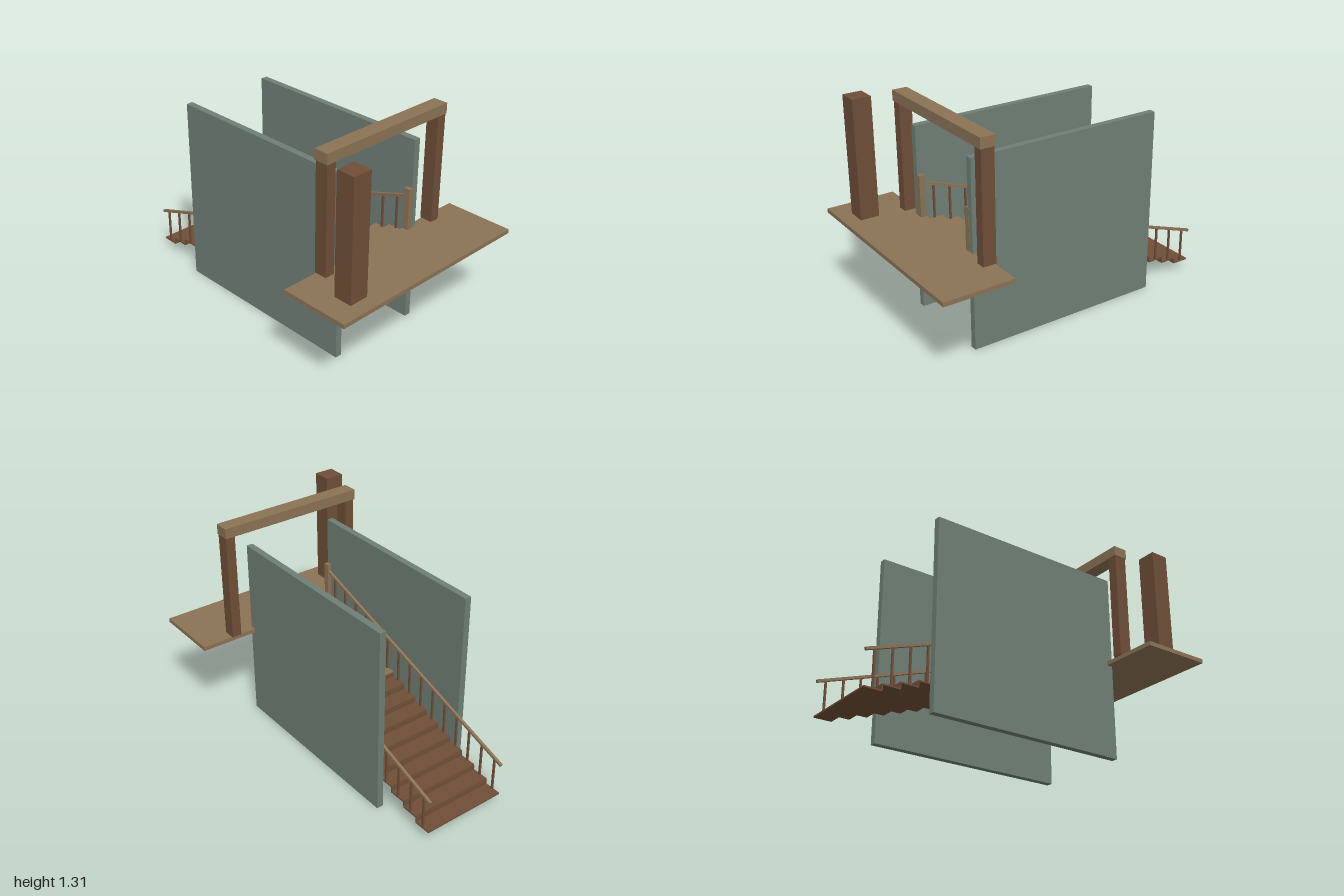
import * as THREE from 'three';

export function createModel() {
  const model = new THREE.Group();
  model.name = 'staircaseWithLanding';

  const lightWood = new THREE.MeshStandardMaterial({ name: 'lightWood', color: 0x8b7355 });
  const darkWood = new THREE.MeshStandardMaterial({ name: 'darkWood', color: 0x6f4e37 });
  const wallPaint = new THREE.MeshStandardMaterial({ name: 'greyGreenWall', color: 0x6f7f75 });

  // Box given by its lower and upper limits on each axis
  function block(name, material, [x0, x1], [y0, y1], [z0, z1], parent = model) {
    const mesh = new THREE.Mesh(new THREE.BoxGeometry(x1 - x0, y1 - y0, z1 - z0), material);
    mesh.position.set((x0 + x1) / 2, (y0 + y1) / 2, (z0 + z1) / 2);
    mesh.name = name;
    parent.add(mesh);
    return mesh;
  }

  // Landing, portal frame and free-standing post
  const floorY = 0.595;
  block('landing', lightWood, [-0.663, 0.663], [0.57, floorY], [0.575, 1]);
  block('rightColumn', darkWood, [-0.435, -0.375], [floorY, 1.25], [0.567, 0.646]);
  block('leftColumn', darkWood, [0.411, 0.47], [floorY, 1.25], [0.567, 0.646]);
  block('beam', lightWood, [-0.44, 0.473], [1.25, 1.312], [0.56, 0.651]);
  block('post', darkWood, [-0.524, -0.405], [floorY, 1.312], [0.797, 0.911]);

  // Open flight of thin treads and risers; the upper six treads are lighter
  const steps = 15, lightFrom = 9;
  const startZ = -1, depth = 0.1047, rise = 0.0355;
  const treadBottom = 0.06, treadThickness = 0.009;
  const halfWidth = 0.262;
  const stairs = new THREE.Group();
  stairs.name = 'stairs';
  model.add(stairs);
  for (let i = 0; i < steps; i++) {
    const y = treadBottom + i * rise;
    const z = startZ + i * depth;
    block('tread', i < lightFrom ? darkWood : lightWood,
      [-halfWidth, halfWidth], [y, y + treadThickness], [z, z + depth], stairs);
    if (i < steps - 1) {
      block('riser', darkWood, [-halfWidth, halfWidth],
        [y + treadThickness, y + rise], [z + depth - 0.003, z + depth + 0.003], stairs);
    }
  }

  // Walls, newels and railings on both sides
  const slope = rise / depth;
  const railY = (z) => 0.265 + (z - startZ) * slope;
  for (const side of [-1, 1]) {
    const label = side > 0 ? 'left' : 'right';
    const span = (a, b) => (side > 0 ? [a, b] : [-b, -a]);
    block(label + 'Wall', wallPaint, span(0.27, 0.31), [0, 1.142], [-0.625, 0.611]);

    const railing = new THREE.Group();
    railing.name = label + 'Railing';
    model.add(railing);
    block('newel', lightWood, span(0.244, 0.279), [floorY, 0.85], [0.577, 0.613], railing);

    const endZ = 0.585;
    const midZ = (startZ + endZ) / 2;
    const rail = new THREE.Mesh(
      new THREE.BoxGeometry(0.016, 0.015, Math.hypot(1, slope) * (endZ - startZ)), lightWood);
    rail.name = 'handrail';
    rail.position.set(side * 0.257, railY(midZ), midZ);
    rail.rotation.x = -Math.atan(slope);
    railing.add(rail);

    for (let i = 0; i < steps; i++) {
      const z = startZ + (i + 0.5) * depth;
      block('baluster', darkWood, span(0.251, 0.262),
        [treadBottom + i * rise + treadThickness, railY(z)], [z - 0.0055, z + 0.0055], railing);
    }
  }
  return model;
}
